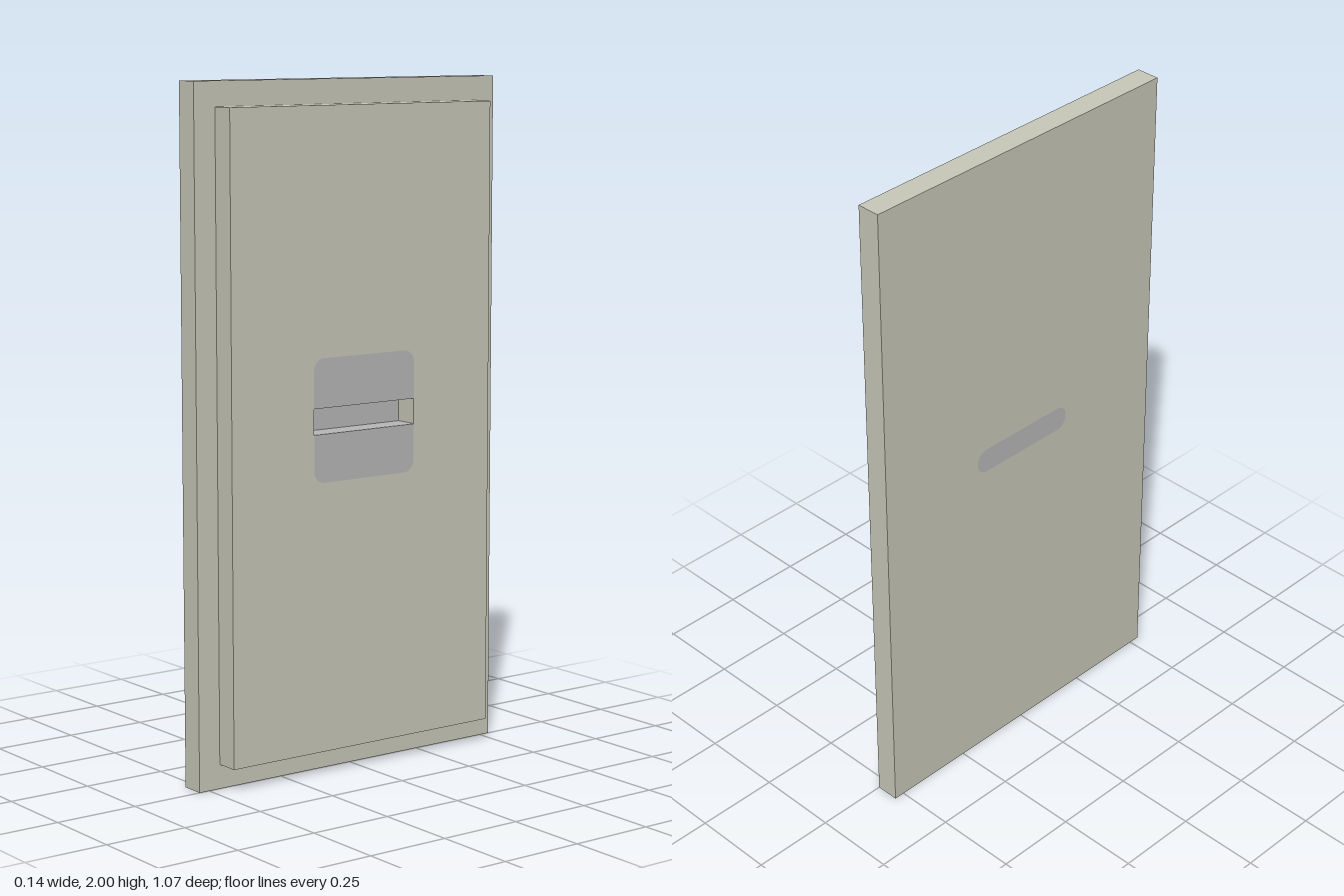
import * as THREE from 'three';

const beige = new THREE.MeshStandardMaterial({ color: 0xc9c9ba });
const grey = new THREE.MeshStandardMaterial({ color: 0xb8b8b8 });
beige.name = 'beige panel';
grey.name = 'grey plate';

const T = 0.071;                    // thickness of each layer
const SLOT = { w: 0.36, y0: 1.0, y1: 1.075 };
const EPS = 0.001;                  // lift of painted plates

// Rectangle outline centred on local x, with separate top and bottom corner radii
function panelShape(w, y0, y1, rTop = 0, rBottom = 0) {
  const h = w / 2, s = new THREE.Shape();
  s.moveTo(-h + rBottom, y0);
  s.lineTo(h - rBottom, y0);
  if (rBottom) s.absarc(h - rBottom, y0 + rBottom, rBottom, -Math.PI / 2, 0);
  s.lineTo(h, y1 - rTop);
  if (rTop) s.absarc(h - rTop, y1 - rTop, rTop, 0, Math.PI / 2);
  s.lineTo(-h + rTop, y1);
  if (rTop) s.absarc(-h + rTop, y1 - rTop, rTop, Math.PI / 2, Math.PI);
  s.lineTo(-h, y0 + rBottom);
  if (rBottom) s.absarc(-h + rBottom, y0 + rBottom, rBottom, Math.PI, Math.PI * 1.5);
  return s;
}

export function createModel() {
  const group = new THREE.Group();
  function add(name, geometry, material, x = 0, y = 0) {
    const mesh = new THREE.Mesh(geometry, material);
    mesh.name = name;
    mesh.position.set(x, y, 0);
    group.add(mesh);
  }
  // Flat shape turned to face +x (side = 1) or -x (side = -1)
  const facing = (shape, side) => new THREE.ShapeGeometry(shape).rotateY(side * Math.PI / 2);

  // Large outer slab
  add('outerSlab', new THREE.BoxGeometry(T, 2, 1.066), beige, -T / 2, 1);

  // Smaller raised panel with the handle slot cut through it
  const raised = panelShape(0.926, 0.071, 1.929);
  raised.holes.push(panelShape(SLOT.w, SLOT.y0, SLOT.y1));
  const raisedGeometry = new THREE.ExtrudeGeometry(raised, { depth: T, bevelEnabled: false });
  add('raisedPanel', raisedGeometry.rotateY(Math.PI / 2), beige);

  // Grey handle plate above and below the slot
  add('upperHandlePlate', facing(panelShape(SLOT.w, SLOT.y1, 1.218, 0.035, 0), 1), grey, T + EPS);
  add('lowerHandlePlate', facing(panelShape(SLOT.w, 0.86, SLOT.y0, 0, 0.035), 1), grey, T + EPS);

  // Grey lining of the slot: back, floor and ceiling
  add('slotBack', facing(panelShape(SLOT.w, SLOT.y0, SLOT.y1), 1), grey, EPS);
  const lining = () => new THREE.PlaneGeometry(T, SLOT.w);
  add('slotFloor', lining().rotateX(-Math.PI / 2), grey, T / 2, SLOT.y0 + EPS);
  add('slotCeiling', lining().rotateX(Math.PI / 2), grey, T / 2, SLOT.y1 - EPS);

  // Rounded grey strip on the back of the slab
  add('backStrip', facing(panelShape(SLOT.w, SLOT.y0, SLOT.y1, 0.036, 0.036), -1), grey, -T - EPS);

  return group;
}
